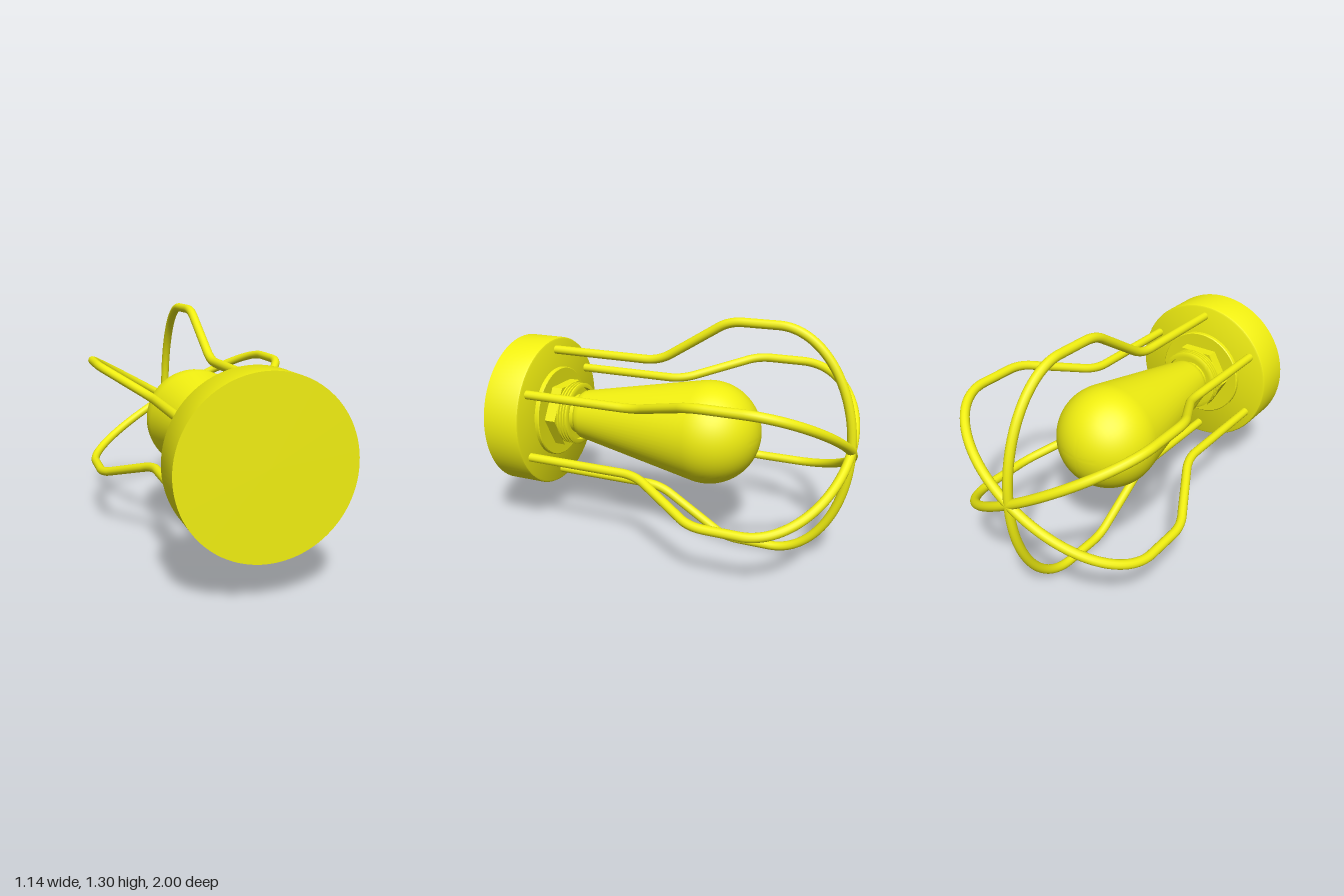
import * as THREE from 'three';
import { toCreasedNormals } from 'three/addons/utils/BufferGeometryUtils.js';

const AXIS_Y = 0.652;
const material = new THREE.MeshStandardMaterial({ color: 0xf0ee10, side: THREE.DoubleSide });

// Turned part around the z axis; profile is [radius, z] from back to front
function turned(name, profile, segments = 64, crease = 0.6) {
  const points = profile.map(([r, z]) => new THREE.Vector2(r, z));
  const geometry = toCreasedNormals(new THREE.LatheGeometry(points, segments).rotateX(Math.PI / 2), crease);
  const mesh = new THREE.Mesh(geometry, material);
  mesh.name = name;
  return mesh;
}

// Cage wire centreline, drawn in the y-z plane
function wirePath() {
  const v = (r, z) => new THREE.Vector3(0, r, z);
  const path = new THREE.CurvePath();
  path.add(new THREE.LineCurve3(v(0.375, 0.8), v(0.375, 0.2)));
  path.add(new THREE.QuadraticBezierCurve3(v(0.375, 0.2), v(0.375, 0.12), v(0.415, 0.05)));
  path.add(new THREE.LineCurve3(v(0.415, 0.05), v(0.582, -0.22)));
  path.add(new THREE.QuadraticBezierCurve3(v(0.582, -0.22), v(0.627, -0.285), v(0.627, -0.37)));
  path.add(new THREE.LineCurve3(v(0.627, -0.37), v(0.627, -0.56)));
  // Quarter ellipse closing on the axis
  const k = 0.5523;
  path.add(new THREE.CubicBezierCurve3(
    v(0.627, -0.56), v(0.627, -0.56 - 0.415 * k), v(0.627 * k, -0.975), v(0, -0.975)));
  return path;
}

export function createModel() {
  const model = new THREE.Group();
  model.name = 'cagedLamp';
  model.position.y = AXIS_Y;

  // Round mounting base with a softened back edge
  model.add(turned('base', [[0, 0.78], [0.428, 0.78], [0.436, 0.784], [0.44, 0.792], [0.44, 1], [0, 1]], 96));

  // Thin flange on the base
  model.add(turned('flange', [[0, 0.755], [0.26, 0.755], [0.265, 0.76], [0.265, 0.79]]));

  // Hexagonal nut
  const nutGeometry = new THREE.CylinderGeometry(0.2, 0.2, 0.07, 6).rotateY(Math.PI / 6).rotateX(Math.PI / 2);
  const nut = new THREE.Mesh(toCreasedNormals(nutGeometry, 0.3), material);
  nut.name = 'nut';
  nut.position.z = 0.725;
  model.add(nut);

  // Threaded socket with a recessed mouth
  const socket = [[0, 0.645], [0.155, 0.645], [0.155, 0.62], [0.172, 0.62]];
  for (let i = 0; i < 4; i++) {
    const z = 0.625 + i * 0.018;
    socket.push([0.182, z], [0.182, z + 0.008], [0.168, z + 0.011], [0.168, z + 0.015]);
  }
  socket.push([0.168, 0.71]);
  model.add(turned('socket', socket));

  // Pear-shaped bulb
  const bulb = [];
  for (let i = 0; i <= 20; i++) {
    const a = (i / 20) * 1.75;
    bulb.push([0.288 * Math.sin(a), -0.19 - 0.288 * Math.cos(a)]);
  }
  bulb.push([0.147, 0.57], [0.142, 0.595], [0.13, 0.612], [0.115, 0.62], [0.115, 0.65]);
  model.add(turned('bulb', bulb, 64, 0.9));

  // Six cage wires meeting at the back
  const cage = new THREE.Group();
  cage.name = 'cage';
  const wireGeometry = new THREE.TubeGeometry(wirePath(), 120, 0.025, 14);
  for (let i = 0; i < 6; i++) {
    const wire = new THREE.Mesh(wireGeometry, material);
    wire.name = 'cageWire';
    wire.rotation.z = (i * Math.PI) / 3;
    cage.add(wire);
  }
  model.add(cage);

  const root = new THREE.Group();
  root.name = 'lamp';
  root.add(model);
  return root;
}
